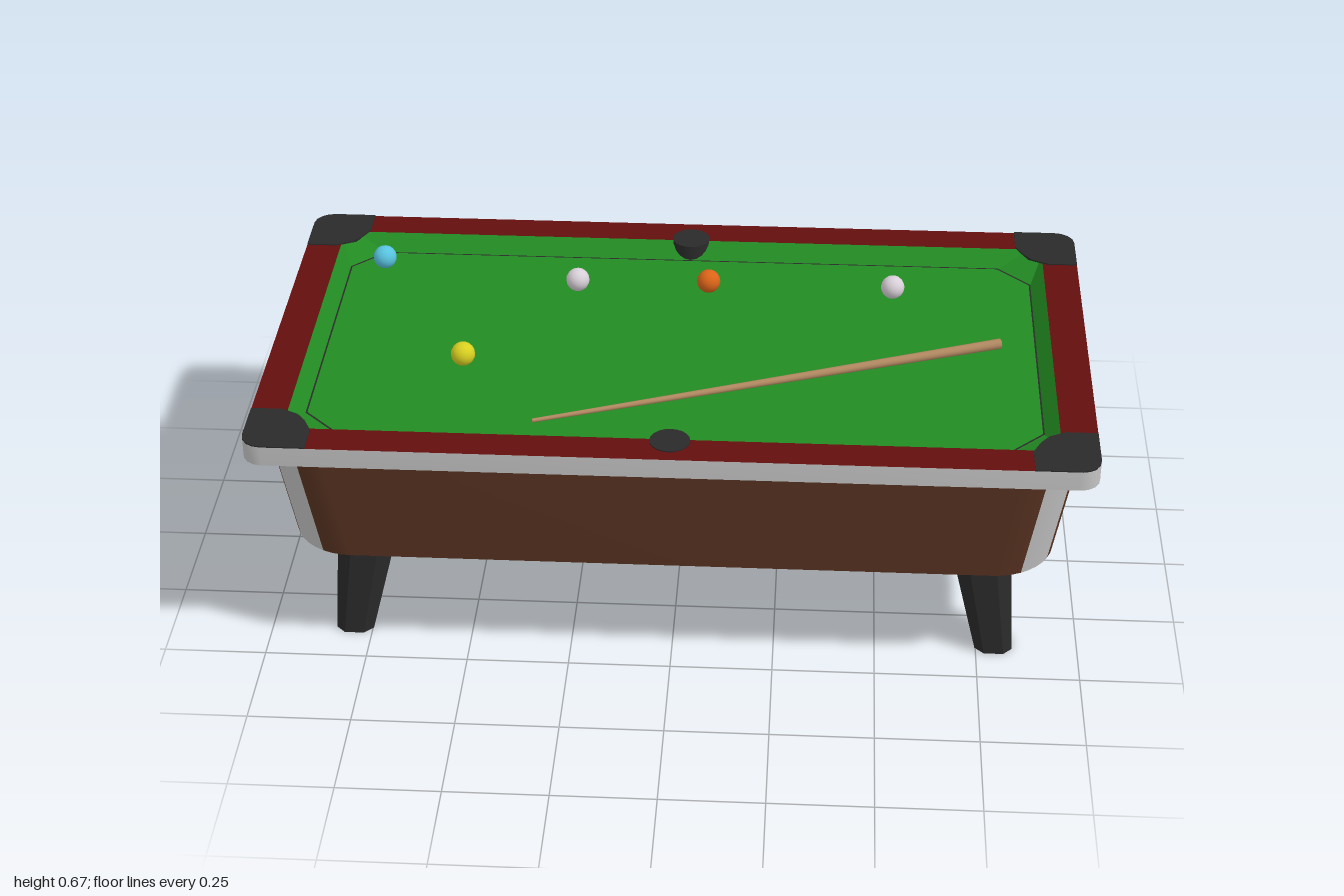
import * as THREE from 'three';
import { toCreasedNormals } from 'three/addons/utils/BufferGeometryUtils.js';

const mat = (name, color) => Object.assign(new THREE.MeshStandardMaterial({ color }), { name });

// Rounded rectangle (n = 1 gives a chamfer) as [x, z] points around the origin or (cx, cz)
function roundRect(hx, hz, r, n, cx = 0, cz = 0) {
  const pts = [];
  for (let k = 0; k < 4; k++) {
    const sx = k === 0 || k === 3 ? 1 : -1, sz = k < 2 ? 1 : -1;
    for (let j = 0; j <= n; j++) {
      const a = (k + j / n) * Math.PI / 2;
      pts.push([cx + sx * (hx - r) + r * Math.cos(a), cz + sz * (hz - r) + r * Math.sin(a)]);
    }
  }
  return pts;
}

// Walls between stacked loops { y, pts }; listed bottom to top they face outward, top to bottom inward
function loft(loops, pick = () => true, crease = 0.4) {
  const pos = [];
  for (let l = 0; l + 1 < loops.length; l++) {
    const A = loops[l], B = loops[l + 1], n = A.pts.length;
    const at = (L, i) => [L.pts[i % n][0], L.y, L.pts[i % n][1]];
    for (let i = 0; i < n; i++) {
      if (!pick(i)) continue;
      pos.push(...at(A, i), ...at(B, i), ...at(B, i + 1), ...at(A, i), ...at(B, i + 1), ...at(A, i + 1));
    }
  }
  const g = new THREE.BufferGeometry();
  g.setAttribute('position', new THREE.Float32BufferAttribute(pos, 3));
  g.computeVertexNormals();
  return toCreasedNormals(g, crease);
}

const toShape = (pts) => new THREE.Shape(pts.map(([x, z]) => new THREE.Vector2(x, -z)));

// Flat horizontal sheet facing up or down, with an optional hole
function sheet(pts, y, hole, down = false) {
  const s = toShape(down ? pts.map(([x, z]) => [x, -z]) : pts);
  if (hole) s.holes.push(toShape(hole));
  return new THREE.ShapeGeometry(s).rotateX(down ? Math.PI / 2 : -Math.PI / 2).translate(0, y, 0);
}

export function createModel() {
  const felt = mat('felt green', 0x228b22), red = mat('rail red', 0x640e0e);
  const wood = mat('wood brown', 0x5a3422), silver = mat('silver trim', 0xc4c4c4);
  const black = mat('black', 0x2a2a2a), cueWood = mat('cue tan', 0xb08860);
  const white = mat('ball white', 0xd8d0d8), yellow = mat('ball yellow', 0xd8d020);
  const orange = mat('ball orange', 0xdc6418), blue = mat('ball blue', 0x58c4e0);

  const root = new THREE.Group();
  root.name = 'poolTable';
  const add = (name, geo, m, parent = root) => {
    const mesh = new THREE.Mesh(geo, m);
    mesh.name = name;
    parent.add(mesh);
    return mesh;
  };

  // Tapered cabinet with silver plates around its rounded corners
  const N = 10;
  const base = { y: 0.292, pts: roundRect(0.88, 0.46, 0.11, N) };
  const low = { y: 0.303, pts: roundRect(0.92, 0.498, 0.15, N) };
  const high = { y: 0.6, pts: roundRect(0.965, 0.532, 0.15, N) };
  const isPlate = (i) => i % (N + 1) >= 3 && i % (N + 1) <= 6;
  add('cabinet', loft([low, high], (i) => !isPlate(i)), wood);
  add('cornerPlates', loft([low, high], isPlate), silver);
  add('cabinetEdge', loft([base, low]), wood);
  add('cabinetBottom', sheet(base.pts, base.y, null, true), wood);

  // Silver rim band, red rail top and wooden underside
  const rimPts = roundRect(1, 0.565, 0.05, 4);
  const opening = roundRect(0.912, 0.478, 0.03, 1);
  add('rimBand', loft([{ y: 0.6, pts: rimPts }, { y: 0.65, pts: rimPts }], undefined, 0.5), silver);
  add('railTop', sheet(rimPts, 0.65, opening), red);
  add('rimUnderside', sheet(rimPts, 0.6, null, true), wood);

  // Sloped cushions down to the playing surface, with a dark seam
  const bed = 0.613;
  const bedPts = roundRect(0.88, 0.435, 0.08, 1);
  add('cushions', loft([{ y: 0.65, pts: opening }, { y: bed, pts: bedPts }], undefined, 0.1), felt);
  add('playingSurface', sheet(bedPts, bed), felt);
  add('seam', sheet(bedPts, bed + 0.002, roundRect(0.876, 0.431, 0.079, 1)), black);

  // Corner caps, corner pockets and legs
  for (const sx of [-1, 1]) for (const sz of [-1, 1]) {
    const pts = [[0.845, 0.565], [0.845, 0.485], [0.865, 0.445], [0.885, 0.42], [0.925, 0.4], [1, 0.4]];
    for (let j = 0; j <= 4; j++) {
      const a = j * Math.PI / 8;
      pts.push([0.95 + 0.05 * Math.cos(a), 0.515 + 0.05 * Math.sin(a)]);
    }
    const cap = new THREE.ExtrudeGeometry(toShape(pts.map(([x, z]) => [x * sx, z * sz])),
      { depth: 0.004, bevelEnabled: false });
    add('cornerCap', cap.rotateX(-Math.PI / 2).translate(0, 0.649, 0), black);
    add('cornerPocket', new THREE.CylinderGeometry(0.045, 0.045, 0.042, 16)
      .translate(sx * 0.91, 0.631, sz * 0.475), black);

    const foot = { y: 0, pts: roundRect(0.046, 0.048, 0.022, 1, sx * 0.794, sz * 0.357) };
    const hip = { y: 0.3, pts: roundRect(0.075, 0.079, 0.04, 1, sx * 0.747, sz * 0.323) };
    const leg = new THREE.Group();
    leg.name = 'leg';
    root.add(leg);
    add('legShaft', loft([foot, hip], undefined, 0.1), black, leg);
    add('legFoot', sheet(foot.pts, 0, null, true), black, leg);
  }

  // Middle pockets
  for (const sz of [-1, 1]) {
    add('middlePocket', new THREE.CylinderGeometry(0.048, 0.048, 0.042, 20)
      .translate(0, 0.632, sz * 0.485), black);
  }

  // Balls
  const ballGeo = new THREE.SphereGeometry(0.03, 16, 10);
  for (const [x, z, m] of [[-0.79, -0.36, blue], [-0.53, 0.11, yellow], [-0.28, -0.27, white],
    [0.055, -0.28, orange], [0.525, -0.275, white]]) {
    add('ball', ballGeo, m).position.set(x, 0.643, z);
  }

  // Cue lying on the felt, thin tip to thick butt
  const tip = new THREE.Vector3(-0.335, 0.62, 0.368), butt = new THREE.Vector3(0.79, 0.627, -0.037);
  const dir = butt.clone().sub(tip);
  const cue = add('cue', new THREE.CylinderGeometry(0.013, 0.005, dir.length(), 10), cueWood);
  cue.position.copy(tip).add(butt).multiplyScalar(0.5);
  cue.quaternion.setFromUnitVectors(new THREE.Vector3(0, 1, 0), dir.normalize());

  return root;
}
